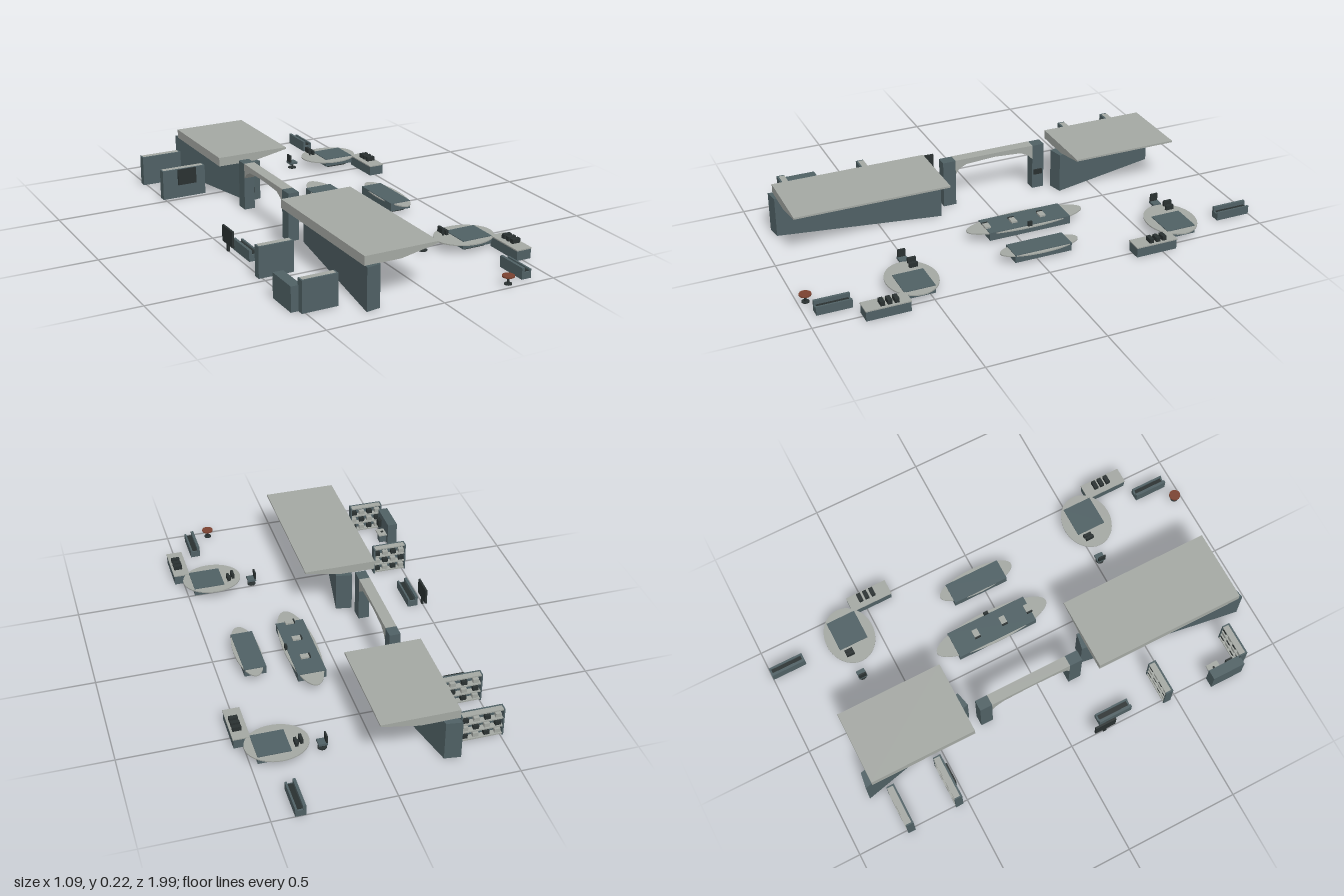
import * as THREE from 'three';

const mat = (name, color, side = THREE.FrontSide) => {
  const m = new THREE.MeshStandardMaterial({ color, side });
  m.name = name;
  return m;
};

export function createModel() {
  const light = mat('pale stone', 0xa3a7a2);
  const teal = mat('slate teal', 0x4f6064);
  const dark = mat('charcoal', 0x293030);
  const rust = mat('rust brown', 0x7a4230);
  const model = new THREE.Group();

  const group = (name, x = 0, z = 0, parent = model) => {
    const g = new THREE.Group();
    g.name = name;
    g.position.set(x, 0, z);
    parent.add(g);
    return g;
  };
  const add = (parent, name, geo, material, x = 0, y = 0, z = 0) => {
    const m = new THREE.Mesh(geo, material);
    m.name = name;
    m.position.set(x, y, z);
    parent.add(m);
    return m;
  };
  // box given by its limits on each axis
  const box = (parent, name, material, x0, x1, y0, y1, z0, z1) =>
    add(parent, name, new THREE.BoxGeometry(x1 - x0, y1 - y0, z1 - z0), material,
      (x0 + x1) / 2, (y0 + y1) / 2, (z0 + z1) / 2);
  const disc = (parent, name, material, r, y0, y1, x = 0, z = 0, n = 20) =>
    add(parent, name, new THREE.CylinderGeometry(r, r, y1 - y0, n), material, x, (y0 + y1) / 2, z);
  const extrude = (points, depth) => new THREE.ExtrudeGeometry(
    new THREE.Shape(points.map(p => new THREE.Vector2(...p))), { depth, bevelEnabled: false });

  // Slanted walls: plan outline (x, z) raised to the roof
  const wall = (name, plan) => {
    const geo = extrude(plan.map(([x, z]) => [x, -z]), 0.177);
    geo.rotateX(-Math.PI / 2);
    add(model, name, geo, teal);
  };
  wall('nearWall', [[-0.297, 0.935], [-0.235, 0.925], [-0.115, 0.225], [-0.185, 0.212]]);
  wall('farWall', [[-0.305, -0.86], [-0.237, -0.85], [-0.115, -0.343], [-0.18, -0.328]]);

  // Wedge roofs
  const roof = (name, x0, z0, z1) => add(model, name, extrude([
    [x0, 0.176], [-0.14, 0.176], [0.022, 0.207], [0.022, 0.215], [x0, 0.215]], z1 - z0), light, 0, 0, z0);
  roof('nearRoof', -0.297, 0.235, 0.915);
  roof('farRoof', -0.305, -0.83, -0.357);

  // Gateway between the buildings
  const gate = group('gateway');
  box(gate, 'nearGateLeg', teal, -0.238, -0.19, 0, 0.211, 0.125, 0.183);
  box(gate, 'farGateLeg', teal, -0.238, -0.19, 0, 0.211, -0.298, -0.243);
  const span = extrude([[-0.125, 0.145], [-0.11, 0.168], [-0.075, 0.186], [0.06, 0.194],
    [0.185, 0.186], [0.222, 0.168], [0.243, 0.145], [0.243, 0.212], [-0.125, 0.212]], 0.048);
  span.rotateY(Math.PI / 2);
  add(gate, 'gateSpan', span, light, -0.238, 0, 0);
  box(gate, 'gatePanel', dark, -0.195, -0.184, 0.068, 0.092, -0.288, -0.25);

  // Oval islands with a sunken block
  const island = (name, x, z, rx, rz, [bx0, bx1, bz0, bz1]) => {
    const g = group(name);
    const top = disc(g, 'islandTop', light, 1, 0.040, 0.045, x, z, 40);
    top.scale.set(rx, 1, rz);
    box(g, 'islandBlock', teal, bx0, bx1, 0.012, 0.048, bz0, bz1);
    box(g, 'islandBase', dark, bx0 + 0.02, bx1 - 0.02, 0, 0.012, bz0 + 0.02, bz1 - 0.02);
    return g;
  };
  const longIsland = island('longIsland', 0.128, -0.058, 0.074, 0.267, [0.065, 0.188, -0.245, 0.127]);
  [-0.135, -0.003, 0.118].forEach(z => {
    box(longIsland, 'islandTray', light, 0.112, 0.148, 0.048, 0.056, z - 0.013, z + 0.013);
    box(longIsland, 'islandTrayEdge', dark, 0.106, 0.112, 0.048, 0.058, z - 0.013, z + 0.013);
  });
  box(longIsland, 'islandSign', dark, 0.186, 0.196, 0.045, 0.066, -0.065, -0.045);
  island('shortIsland', 0.353, -0.021, 0.058, 0.175, [0.3, 0.395, -0.15, 0.105]);

  // Two matching service corners
  const serviceCorner = (name, z) => {
    const g = group(name, 0, z);
    const isl = island('roundIsland', 0.38, 0, 0.131, 0.108, [0.335, 0.473, -0.066, 0.066]);
    g.add(isl);
    // screen on a post
    box(g, 'screenPost', dark, 0.298, 0.304, 0.045, 0.066, -0.037, -0.031);
    box(g, 'screenLeft', dark, 0.285, 0.297, 0.06, 0.083, -0.052, -0.016);
    box(g, 'screenRight', dark, 0.305, 0.317, 0.05, 0.07, -0.052, -0.016);
    box(g, 'screenBridge', dark, 0.297, 0.305, 0.06, 0.068, -0.038, -0.03);
    // chair
    disc(g, 'chairBase', dark, 0.019, 0, 0.004, 0.202, -0.028);
    disc(g, 'chairPost', dark, 0.004, 0.004, 0.022, 0.202, -0.028, 8);
    box(g, 'chairSeat', teal, 0.183, 0.221, 0.022, 0.032, -0.047, -0.009);
    box(g, 'chairBack', dark, 0.183, 0.19, 0.032, 0.066, -0.045, -0.011);
    // till counter
    box(g, 'counterBody', teal, 0.473, 0.54, 0, 0.042, 0.061, 0.246);
    box(g, 'counterTop', light, 0.471, 0.542, 0.042, 0.047, 0.059, 0.248);
    [0.115, 0.144, 0.174].forEach(k =>
      box(g, 'till', dark, 0.495, 0.532, 0.047, 0.066, k - 0.009, k + 0.009));
  };
  serviceCorner('nearServiceCorner', 0.55);
  serviceCorner('farServiceCorner', -0.625);

  // Trough benches
  const bench = (x0, x1, z0, z1) => {
    const g = group('bench');
    box(g, 'benchBody', teal, x0, x1, 0, 0.028, z0, z1);
    box(g, 'benchBack', teal, x0, x0 + 0.012, 0.028, 0.048, z0, z1);
    box(g, 'benchRail', teal, x1 - 0.008, x1, 0.028, 0.038, z0, z1);
    box(g, 'benchCushion', dark, x0 + 0.012, x1 - 0.008, 0.028, 0.031, z0 + 0.008, z1 - 0.008);
  };
  bench(0.363, 0.406, -1, -0.845);
  bench(0.381, 0.424, 0.81, 0.958);
  bench(-0.475, -0.43, 0.148, 0.303);
  box(model, 'noticePanel', dark, -0.505, -0.496, 0.03, 0.1, 0.11, 0.207);
  box(model, 'noticePanelFoot', dark, -0.505, -0.496, 0, 0.03, 0.15, 0.165);

  // Round table
  const table = group('roundTable', 0.31, 0.967);
  disc(table, 'tableTop', rust, 0.025, 0.032, 0.038);
  disc(table, 'tablePost', dark, 0.005, 0.004, 0.032, 0, 0, 10);
  disc(table, 'tableFoot', dark, 0.016, 0, 0.004);

  // Open shelving facing the back
  const shelving = (x0, x1, z0, z1) => {
    const g = group('shelving');
    box(g, 'shelvingBack', teal, x0, x1, 0, 0.133, z1 - 0.008, z1);
    [x0, x1 - 0.006].forEach(x => box(g, 'shelvingSide', teal, x, x + 0.006, 0, 0.133, z0, z1 - 0.008));
    [0.006, 0.045, 0.085, 0.127].forEach((y, row) => {
      box(g, 'shelf', light, x0 + 0.006, x1 - 0.006, y, y + 0.006, z0, z1 - 0.008);
      if (row === 3) return;
      for (let i = 0; i < 4; i++) {
        const x = x0 + (x1 - x0) * (i + 0.5) / 4;
        box(g, 'shelfGoods', (i + row) % 2 ? dark : light, x - 0.012, x + 0.012,
          y + 0.006, y + 0.024, z0 + 0.006, z1 - 0.01);
      }
    });
  };
  shelving(-0.513, -0.328, -0.782, -0.748);
  shelving(-0.507, -0.305, -0.556, -0.522);
  shelving(-0.515, -0.362, 0.44, 0.474);
  shelving(-0.515, -0.362, 0.804, 0.838);
  box(model, 'shelvingScreen', dark, -0.437, -0.35, 0.06, 0.132, -0.522, -0.515);

  // Side counter with desk
  const desk = group('sideCounter');
  box(desk, 'sideCounterBody', teal, -0.546, -0.502, 0, 0.105, 0.66, 0.81);
  box(desk, 'deskTop', light, -0.502, -0.463, 0.04, 0.046, 0.675, 0.73);
  box(desk, 'deskLeg', teal, -0.502, -0.47, 0, 0.04, 0.685, 0.72);
  box(desk, 'deskPad', dark, -0.492, -0.48, 0.046, 0.05, 0.698, 0.706);
  box(desk, 'sideBox', dark, -0.502, -0.486, 0.04, 0.075, 0.755, 0.787);

  return model;
}
